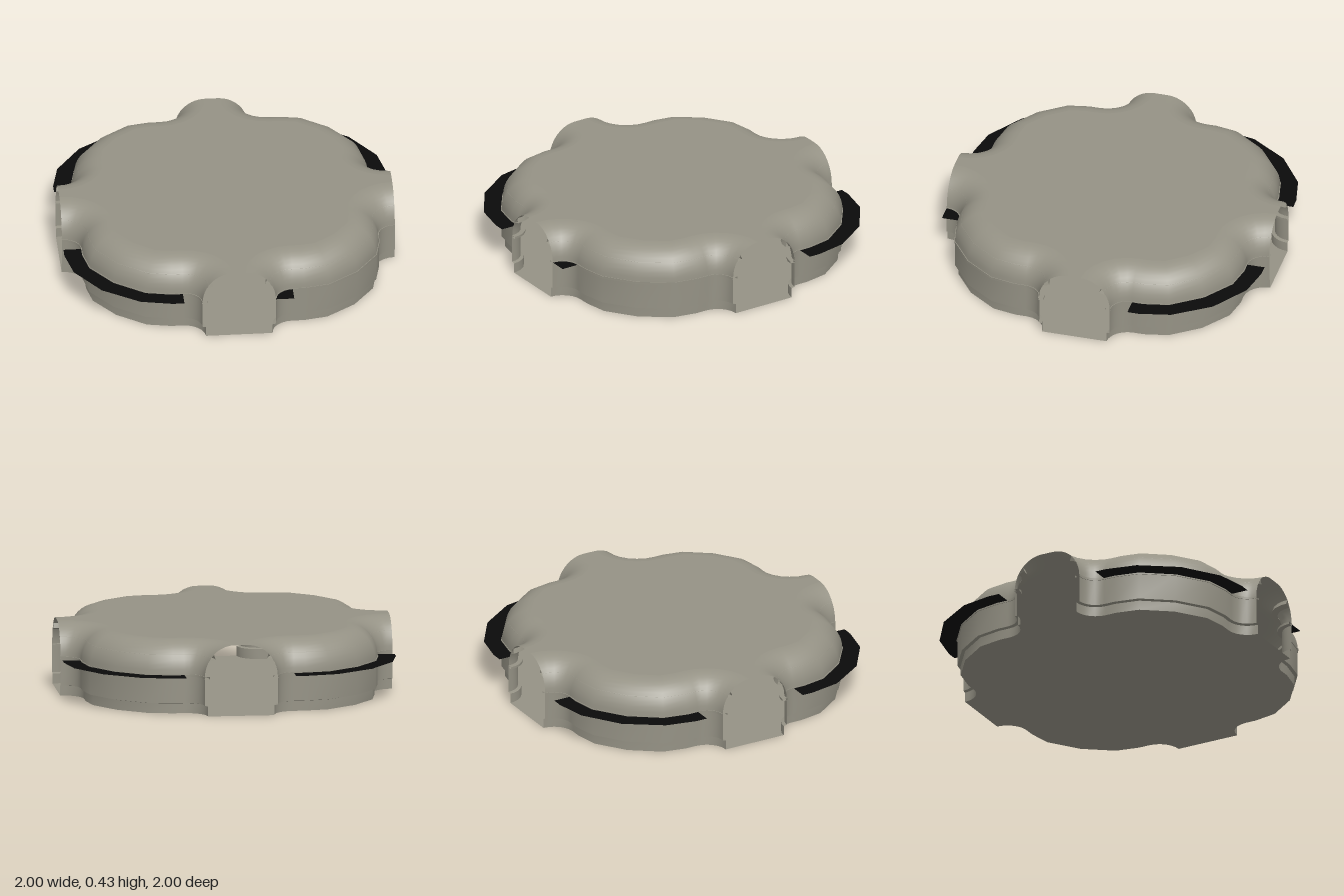
import * as THREE from 'three';
import { mergeGeometries } from 'three/addons/utils/BufferGeometryUtils.js';

// One quarter of the wall plan, from the +x doorway to the +z doorway: [x, z, inward nx, inward nz]
const half = [];
for (let i = 0; i <= 6; i++) {
  const a = (i / 6) * Math.PI / 2, s = Math.sin(a), c = Math.cos(a);
  half.push([1 - 0.11 * s, 0.33 - 0.11 * c, -s, -c]);
}
half.push([0.89, 0.4, -0.995, -0.1], [0.86, 0.55, -0.92, -0.39]);
const swap = ([x, z, nx, nz]) => [z, x, nz, nx];
const quarter = [...half, [0.73, 0.73, -0.707, -0.707], ...half.map(swap).reverse()];

// Plan point moved inwards by d and turned k quarter turns
function planPoint([x, z, nx, nz], d, k) {
  let p = [x + nx * d, z + nz * d];
  for (let i = 0; i < k; i++) p = [-p[1], p[0]];
  return p;
}

// Sweep a profile of [inset, y] along all four quarters
function sweep(profile) {
  const pos = [], idx = [], n = quarter.length;
  for (let k = 0; k < 4; k++) {
    const base = pos.length / 3;
    for (const [d, y] of profile) {
      for (const q of quarter) {
        const [x, z] = planPoint(q, d, k);
        pos.push(x, y, z);
      }
    }
    for (let j = 0; j < profile.length - 1; j++) {
      for (let i = 0; i < n - 1; i++) {
        const a = base + j * n + i, b = a + n;
        idx.push(a, b, a + 1, a + 1, b, b + 1);
      }
    }
  }
  const g = new THREE.BufferGeometry();
  g.setAttribute('position', new THREE.Float32BufferAttribute(pos, 3));
  g.setIndex(idx);
  g.computeVertexNormals();
  return g;
}

// Closed profile with hard edges between its sides
function sweepBar(points) {
  return mergeGeometries(points.map((p, i) => sweep([p, points[(i + 1) % points.length]])));
}

// Flat horizontal plate from [x, z] points
function plate(points, y) {
  const shape = new THREE.Shape(points.map(([x, z]) => new THREE.Vector2(x, -z)));
  return new THREE.ShapeGeometry(shape).rotateX(-Math.PI / 2).translate(0, y, 0);
}

function fullPlan(d) {
  return [0, 1, 2, 3].flatMap((k) => quarter.map((q) => planPoint(q, d, k)));
}

export function createModel() {
  const group = new THREE.Group();
  const stone = new THREE.MeshStandardMaterial({ color: 0x959285, side: THREE.DoubleSide });
  stone.name = 'warm grey';
  const black = new THREE.MeshStandardMaterial({ color: 0x0a0a0a, side: THREE.DoubleSide });
  black.name = 'black';

  function add(name, geometry, material = stone) {
    const mesh = new THREE.Mesh(geometry, material);
    mesh.name = name;
    group.add(mesh);
  }

  // Floor and walls
  add('floor', plate(fullPlan(0.02), 0));
  add('skirting', sweep([[0.02, 0], [0.02, 0.06]]));
  add('skirtingStep', sweep([[0.02, 0.06], [0, 0.065]]));
  add('wall', sweep([[0, 0.065], [0, 0.235]]));

  // Rounded cove rising to the flat roof
  const R = 0.18, cove = [];
  for (let i = 0; i <= 10; i++) {
    const a = (i / 10) * Math.PI / 2;
    cove.push([R * (1 - Math.cos(a)), 0.235 + 0.195 * Math.sin(a)]);
  }
  add('cove', sweep(cove));
  add('roof', plate(fullPlan(R), 0.43));

  // Inner ledge, cove rail and ceiling panel
  add('ledge', sweepBar([[0.03, 0.226], [-0.004, 0.226], [-0.004, 0.24], [0.03, 0.24]]));
  add('coveRail', sweepBar([[0.065, 0.345], [0.028, 0.333], [0.036, 0.352], [0.055, 0.373]]));
  const panel = new THREE.BoxGeometry(0.29, 0.006, 0.29);
  panel.translate(0, 0.425, 0);
  add('ceilingPanel', panel);

  // Black flanges round three of the corners
  const inner = [[0.89, 0.33], [0.89, 0.4], [0.86, 0.55], [0.73, 0.73]];
  const outer = [[1, 0.33], [1, 0.4], [0.96, 0.59], [0.81, 0.81]];
  const mirror = (pts) => [...pts, ...pts.slice(0, -1).map(([x, z]) => [z, x]).reverse()];
  const flange = [...mirror(outer), ...mirror(inner).reverse()];
  for (let k = 1; k < 4; k++) {
    add('cornerFlange' + k, plate(flange.map(([x, z]) => planPoint([x, z, 0, 0], 0, k)), 0.235), black);
  }

  // Small black fillet plate beside the front doorway
  const fillet = half.slice(0, 7).map(([x, z]) => [z, x]);
  add('doorwayFillet', plate([...fillet, [0.33, 1]], 0.235), black);

  return group;
}
